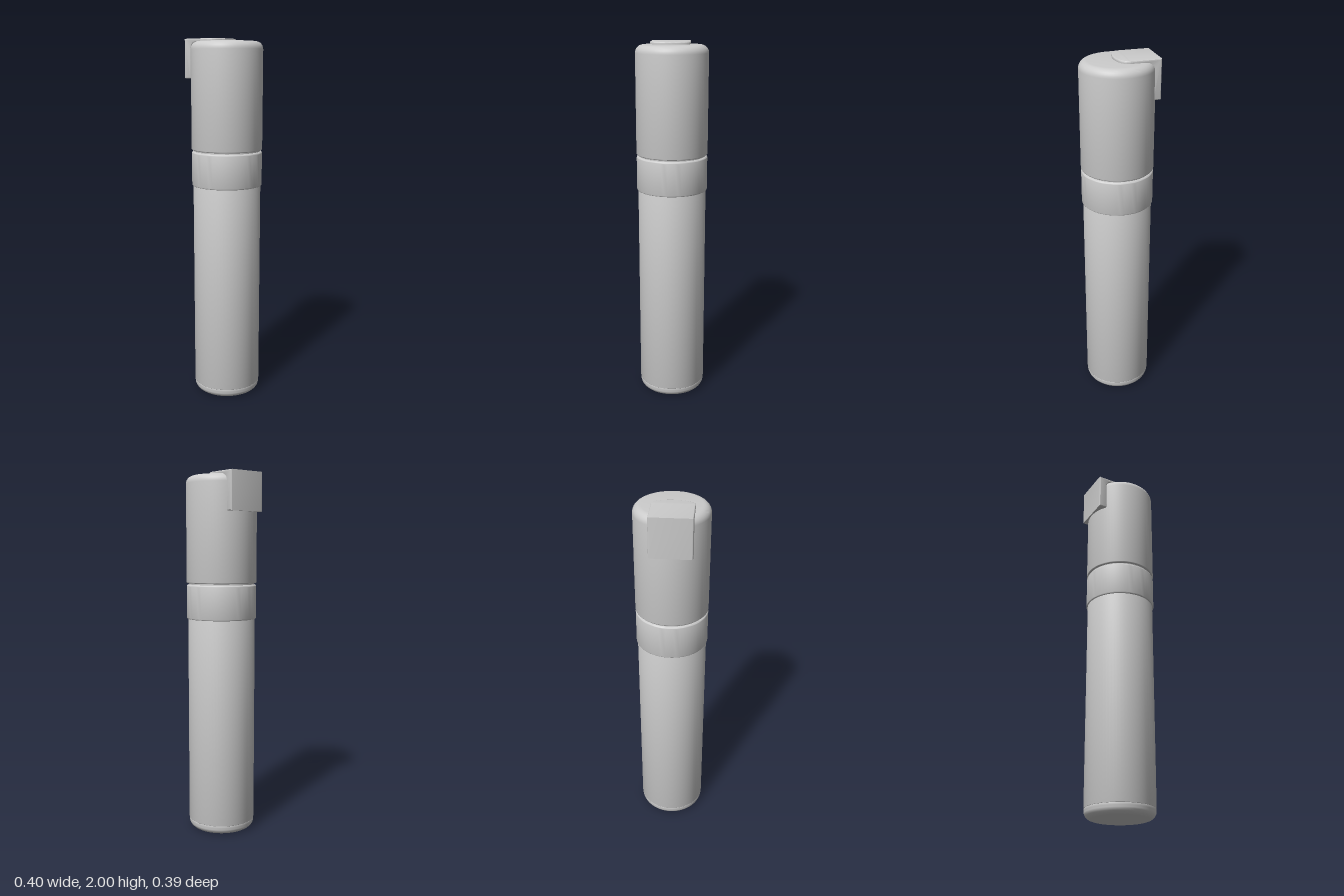
import * as THREE from 'three';
import { toCreasedNormals } from 'three/addons/utils/BufferGeometryUtils.js';

const material = new THREE.MeshStandardMaterial({ color: 0xcccccc });

function addMesh(group, name, geometry) {
  const mesh = new THREE.Mesh(toCreasedNormals(geometry, 0.6), material);
  mesh.name = name;
  group.add(mesh);
}

// Closed cylinder from y0 to y1 with separately rounded bottom and top rims
function roundedCylinder(r, y0, y1, bottom, top) {
  const points = [new THREE.Vector2(0, y0)];
  const rim = (fillet, y, from) => {
    const steps = fillet > 0.01 ? 7 : 3;
    for (let i = 0; i <= steps; i++) {
      const a = from + (i / steps) * Math.PI / 2;
      points.push(new THREE.Vector2(r - fillet + fillet * Math.cos(a), y + fillet * Math.sin(a)));
    }
  };
  rim(bottom, y0 + bottom, -Math.PI / 2);
  rim(top, y1 - top, 0);
  points.push(new THREE.Vector2(0, y1));
  return new THREE.LatheGeometry(points, 64);
}

function bevelled(shape, depth, bevel) {
  return new THREE.ExtrudeGeometry(shape, {
    depth: depth - 2 * bevel, bevelEnabled: true, bevelThickness: bevel,
    bevelSize: bevel, bevelOffset: -bevel, bevelSegments: 3, curveSegments: 16,
  }).translate(0, 0, bevel);
}

export function createModel() {
  const model = new THREE.Group();
  model.name = 'capsuleTube';

  // Round parts share one axis
  const tube = new THREE.Group();
  tube.name = 'tube';
  tube.position.x = 0.003;
  model.add(tube);
  addMesh(tube, 'base', roundedCylinder(0.186, 0, 0.054, 0.04, 0.002));
  addMesh(tube, 'body', roundedCylinder(0.187, 0.052, 1.23, 0.002, 0.002));
  addMesh(tube, 'collar', roundedCylinder(0.194, 1.207, 1.398, 0.006, 0.012));
  addMesh(tube, 'neck', roundedCylinder(0.183, 1.38, 1.43, 0.002, 0.002));
  addMesh(tube, 'cap', roundedCylinder(0.195, 1.405, 1.986, 0.006, 0.042));

  // Clip hooked over the rim of the cap
  const clip = new THREE.Group();
  clip.name = 'clip';
  clip.position.z = 0.009;
  model.add(clip);
  const width = 0.218;

  const hook = new THREE.Shape();
  hook.moveTo(-0.2, 1.79);
  hook.lineTo(-0.16, 1.79);
  hook.quadraticCurveTo(-0.153, 1.79, -0.153, 1.797);
  hook.lineTo(-0.153, 1.94);
  hook.quadraticCurveTo(-0.153, 1.98, -0.113, 1.98);
  hook.lineTo(-0.03, 1.98);
  hook.lineTo(-0.03, 2);
  hook.lineTo(-0.2, 2);
  hook.closePath();
  addMesh(clip, 'clipHook', bevelled(hook, width, 0.006).translate(0, 0, -width / 2));

  // Rounded tongue lying on top of the cap
  const tongue = new THREE.Shape();
  tongue.moveTo(-0.045, -width / 2);
  tongue.lineTo(-0.03, -width / 2);
  tongue.absellipse(-0.03, 0, 0.051, width / 2, -Math.PI / 2, Math.PI / 2, false, 0);
  tongue.lineTo(-0.045, width / 2);
  tongue.closePath();
  addMesh(clip, 'clipTongue', bevelled(tongue, 0.022, 0.006).rotateX(-Math.PI / 2).translate(0, 1.978, 0));

  return model;
}
